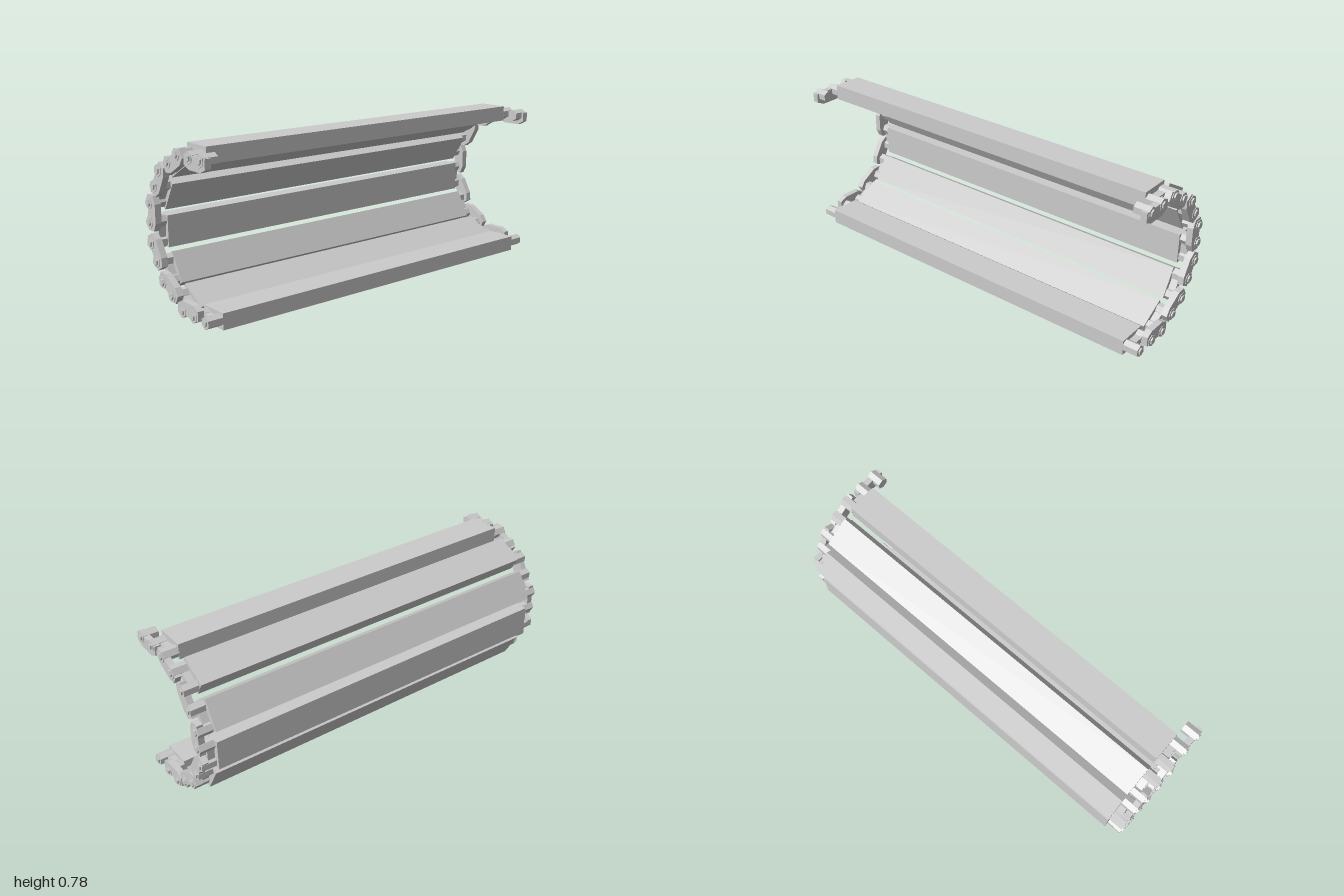
import * as THREE from 'three';

// Chain pins as [z, y], running from the upper front round the back to the lower front
const PINS = [
  [0.225, 0.737], [0.137, 0.737], [0.04, 0.737], [-0.036, 0.693], [-0.119, 0.645],
  [-0.162, 0.569], [-0.21, 0.486], [-0.21, 0.398], [-0.21, 0.302], [-0.166, 0.226],
  [-0.118, 0.143], [-0.042, 0.099], [0.04, 0.051], [0.128, 0.051], [0.225, 0.051],
];
const material = new THREE.MeshStandardMaterial({ color: 0xcccccc, flatShading: true });

function add(parent, name, geometry, x = 0, y = 0, z = 0) {
  const mesh = new THREE.Mesh(geometry, material);
  mesh.name = name;
  mesh.position.set(x, y, z);
  parent.add(mesh);
  return mesh;
}

// Hexagonal bar lying along x, with a corner pointing outward
function hexBar(radius, length) {
  return new THREE.CylinderGeometry(radius, radius, length, 6)
    .rotateY(Math.PI / 6).rotateZ(Math.PI / 2);
}

// Link plate: flat outer edge, chamfered inner corners
function plateGeometry(half, width) {
  const end = half + 0.037;
  const shape = new THREE.Shape([
    [-end, 0.013], [-end, -0.032], [-half, -0.05],
    [half, -0.05], [end, -0.032], [end, 0.013],
  ].map(([a, b]) => new THREE.Vector2(a, b)));
  return new THREE.ExtrudeGeometry(shape, { depth: width, bevelEnabled: false })
    .translate(0, 0, -width / 2).rotateY(Math.PI / 2);
}

// Hexagonal boss with a smaller pin head
function addPin(parent, side, z) {
  add(parent, 'pinBoss', hexBar(0.029, 0.075), side * 0.9555, 0, z);
  add(parent, 'pinHead', hexBar(0.017, 0.01), side * 0.995, 0, z);
}

export function createModel() {
  const model = new THREE.Group();
  model.name = 'slatConveyor';

  for (let i = 0; i < PINS.length - 1; i++) {
    const [z0, y0] = PINS[i];
    const [z1, y1] = PINS[i + 1];
    const half = Math.hypot(z0 - z1, y0 - y1) / 2;
    const isSlat = i % 2 === 1;

    // Local z runs along the chain, local y points outward
    const link = new THREE.Group();
    link.name = isSlat ? 'slatLink' : 'chainLink';
    link.position.set(0, (y0 + y1) / 2, (z0 + z1) / 2);
    link.rotation.x = Math.atan2(y1 - y0, z0 - z1);
    model.add(link);

    if (isSlat) add(link, 'slat', new THREE.BoxGeometry(1.84, 0.075, 0.147), 0, 0.0045, 0);

    for (const side of [-1, 1]) {
      if (isSlat) {
        // Bar joining the two pins at the slat end
        add(link, 'slatBar', new THREE.BoxGeometry(0.04, 0.026, half * 2), side * 0.935, 0, 0);
        if (i === PINS.length - 2) addPin(link, side, -half);
      } else {
        add(link, 'linkPlate', plateGeometry(half, 0.03), side * 0.975);
        addPin(link, side, half);
        addPin(link, side, -half);
      }
    }
  }
  return model;
}
